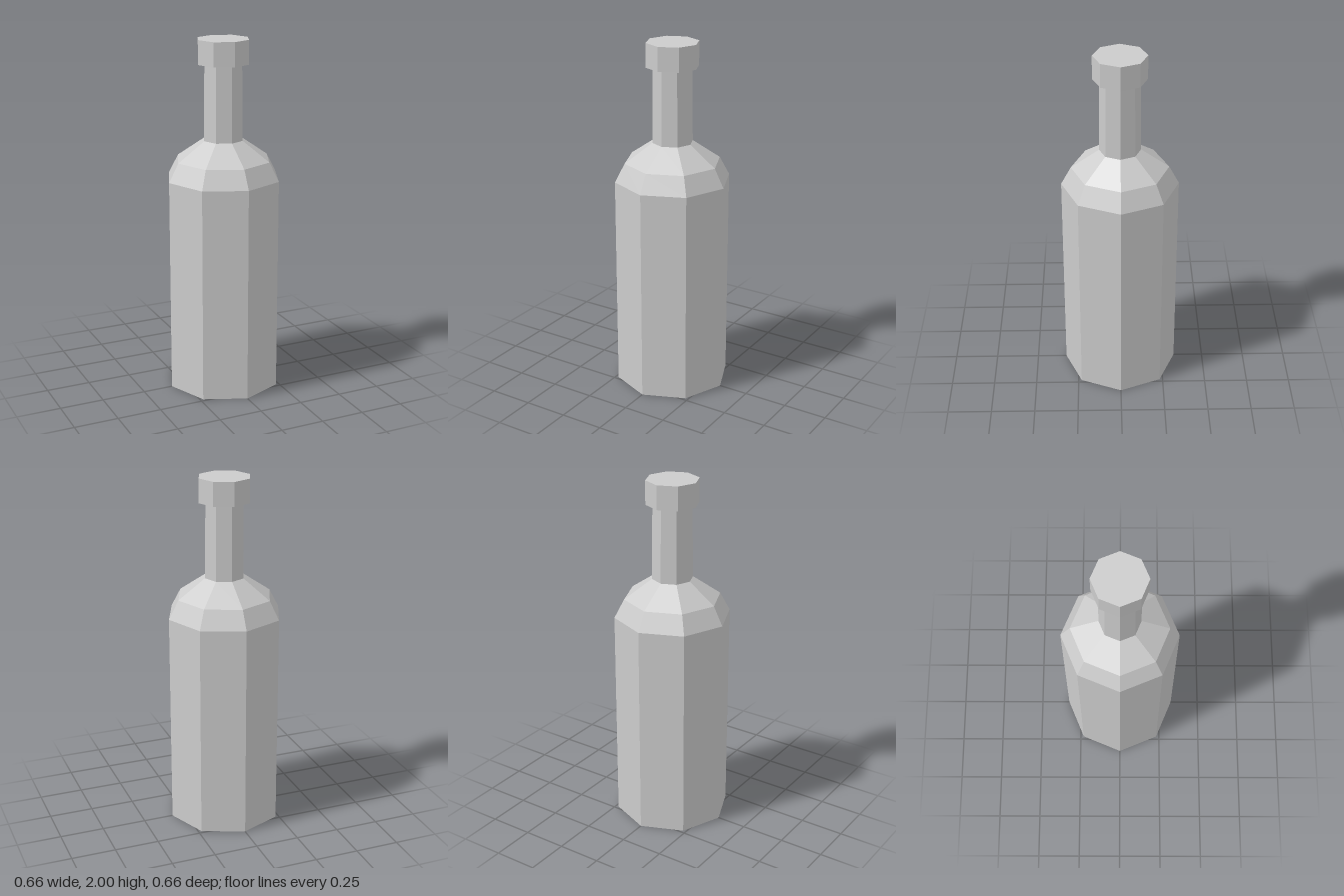
import * as THREE from 'three';

const SIDES = 8;

export function createModel() {
  const bottle = new THREE.Group();
  bottle.name = 'bottle';
  const material = new THREE.MeshStandardMaterial({ color: 0xcccccc, flatShading: true });

  // Turns a [radius, height] profile, listed from bottom to top, into an octagonal part
  const addPart = (name, profile) => {
    const points = profile.map(([r, y]) => new THREE.Vector2(r, y));
    const mesh = new THREE.Mesh(new THREE.LatheGeometry(points, SIDES), material);
    mesh.name = name;
    bottle.add(mesh);
  };

  // Body with closed base
  addPart('body', [[0, 0], [0.328, 0], [0.328, 1.225]]);

  // Two-step shoulder
  addPart('shoulder', [[0.328, 1.225], [0.272, 1.33], [0.115, 1.44]]);

  // Slightly tapered neck
  addPart('neck', [[0.115, 1.44], [0.11, 1.865]]);

  // Cap overhanging the neck
  addPart('cap', [[0.11, 1.865], [0.148, 1.865], [0.148, 2], [0, 2]]);

  return bottle;
}
